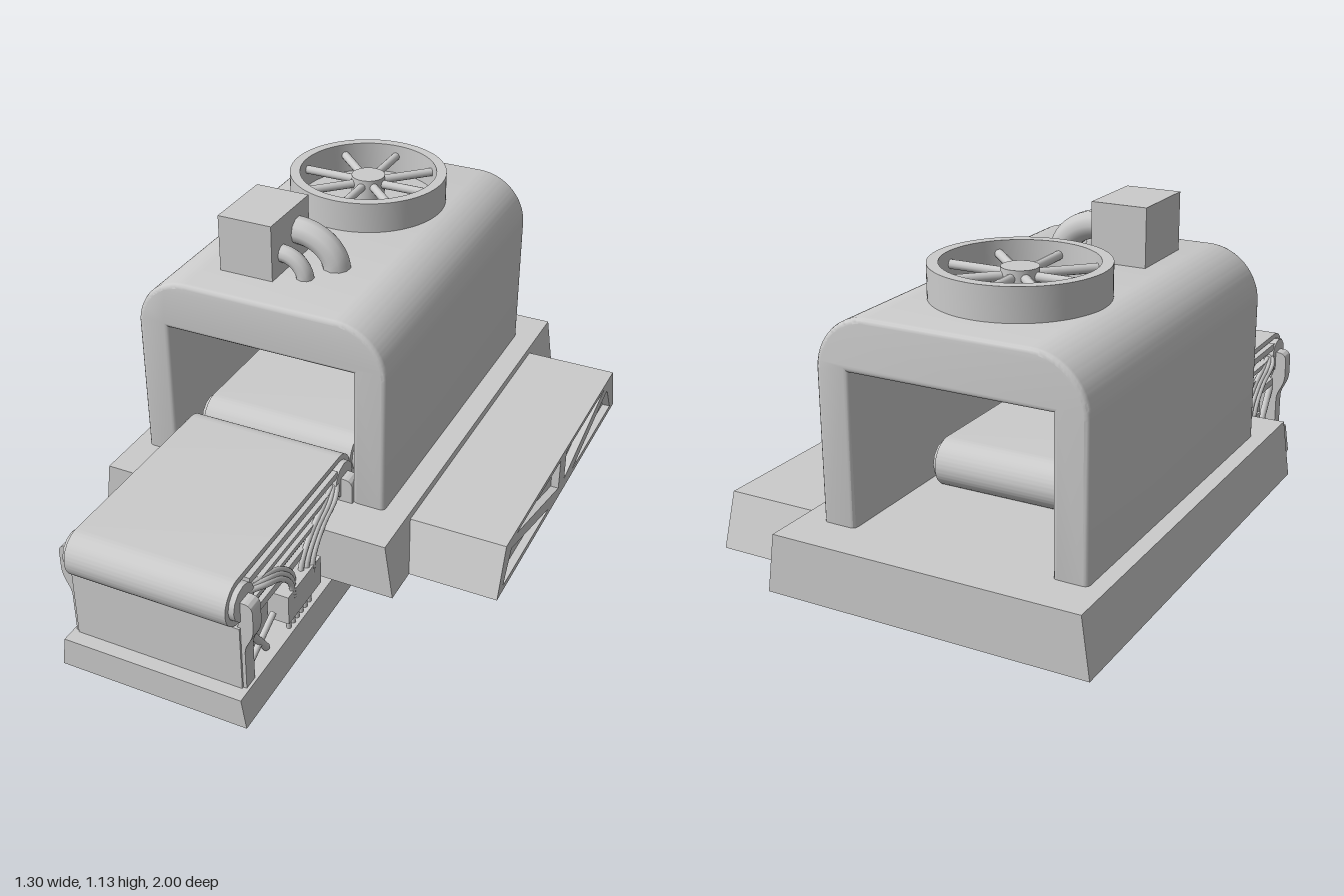
import * as THREE from 'three';
import { toCreasedNormals } from 'three/addons/utils/BufferGeometryUtils.js';

const material = new THREE.MeshStandardMaterial({ color: 0xcccccc });

function add(parent, name, geometry, x = 0, y = 0, z = 0) {
  const mesh = new THREE.Mesh(geometry, material);
  mesh.name = name;
  mesh.position.set(x, y, z);
  parent.add(mesh);
  return mesh;
}

// Box given by its limits
function block(parent, name, x0, x1, y0, y1, z0, z1) {
  return add(parent, name, new THREE.BoxGeometry(x1 - x0, y1 - y0, z1 - z0),
    (x0 + x1) / 2, (y0 + y1) / 2, (z0 + z1) / 2);
}

const polygon = (points) => new THREE.Shape(points.map(([a, b]) => new THREE.Vector2(a, b)));

function extrude(shape, depth, bevel = 0) {
  return toCreasedNormals(new THREE.ExtrudeGeometry(shape, {
    depth: depth - 2 * bevel, bevelEnabled: bevel > 0, bevelSize: bevel,
    bevelThickness: bevel, bevelOffset: -bevel, bevelSegments: 3, curveSegments: 20,
  }).translate(0, 0, bevel), 0.6);
}

// Extrusion along x of a shape drawn in (-z, y)
const extrudeX = (shape, depth) => extrude(shape, depth).rotateY(Math.PI / 2);

function tube(parent, name, points, radius) {
  const curve = new THREE.CatmullRomCurve3(points.map((p) => new THREE.Vector3(...p)));
  return add(parent, name, new THREE.TubeGeometry(curve, 20, radius, 10));
}

// Straight bar between two points
function bar(parent, name, a, b, radius) {
  const from = new THREE.Vector3(...a), to = new THREE.Vector3(...b);
  const mesh = add(parent, name, new THREE.CylinderGeometry(radius, radius, from.distanceTo(to), 12));
  mesh.position.lerpVectors(from, to, 0.5);
  mesh.quaternion.setFromUnitVectors(new THREE.Vector3(0, 1, 0), to.sub(from).normalize());
  return mesh;
}

// Outline with semicircular ends between z0 and z1
function stadium(z0, z1, radius, y, Type = THREE.Shape) {
  const s = new Type();
  s.moveTo(-z1, y - radius);
  s.lineTo(-z0, y - radius);
  s.absarc(-z0, y, radius, -Math.PI / 2, Math.PI / 2, false);
  s.absarc(-z1, y, radius, Math.PI / 2, Math.PI * 1.5, false);
  return s;
}

// Belt loop with rollers and side rails
function belt(parent, name, zBack, zFront) {
  const group = new THREE.Group();
  group.name = name;
  parent.add(group);
  const r = 0.075, y = 0.395, z0 = zBack + r, z1 = zFront - r;
  const loop = stadium(z0, z1, r, y);
  loop.holes.push(stadium(z0, z1, r - 0.018, y, THREE.Path));
  add(group, 'beltLoop', extrudeX(loop, 0.52), -0.26);
  add(group, 'beltCore', extrudeX(stadium(z0, z1, 0.058, y), 0.49), -0.245);
  for (const z of [z0, z1]) {
    bar(group, 'roller', [-0.277, y, z], [0.277, y, z], 0.058);
  }
  for (const side of [-1, 1]) {
    for (const [low, high] of [[0.425, 0.447], [0.385, 0.4], [0.345, 0.36]]) {
      block(group, 'sideRail', side * 0.262 - 0.012, side * 0.262 + 0.012, low, high, z0 + 0.04, z1 - 0.04);
    }
  }
}

function conveyor(parent) {
  const group = new THREE.Group();
  group.name = 'conveyor';
  group.position.x = -0.16;
  parent.add(group);

  belt(group, 'frontBelt', 0.22, 1);
  belt(group, 'innerBelt', -0.53, 0.22);

  // Foot, central body and end panels
  add(group, 'footPlate', extrude(polygon([[-0.31, 0], [0.31, 0], [0.295, 0.1], [-0.295, 0.1]]), 0.79), 0, 0, 0.21);
  block(group, 'supportBody', -0.22, 0.22, 0.1, 0.33, 0.28, 0.92);
  block(group, 'frontPanel', -0.275, 0.275, 0.1, 0.32, 0.915, 0.955);
  block(group, 'rearPanel', -0.275, 0.275, 0.1, 0.32, 0.265, 0.305);

  for (const s of [-1, 1]) {
    // Posts flaring outward to hold the rollers
    const post = new THREE.Shape();
    post.moveTo(s * 0.25, 0.1);
    post.lineTo(s * 0.286, 0.1);
    post.lineTo(s * 0.286, 0.23);
    post.bezierCurveTo(s * 0.287, 0.27, s * 0.315, 0.28, s * 0.315, 0.33);
    post.lineTo(s * 0.315, 0.385);
    post.quadraticCurveTo(s * 0.312, 0.41, s * 0.285, 0.41);
    post.lineTo(s * 0.272, 0.41);
    post.lineTo(s * 0.272, 0.34);
    post.lineTo(s * 0.25, 0.28);
    for (const z of [0.9, 0.27]) {
      add(group, 'rollerPost', extrude(post, 0.048), 0, 0, z);
    }
    block(group, 'upperBeam', s * 0.25 - 0.02, s * 0.25 + 0.02, 0.285, 0.31, 0.3, 0.92);

    // Braces, junction box and cables
    for (const d of [-1, 1]) {
      const at = (z) => 0.605 + d * z;
      bar(group, 'brace', [s * 0.26, 0.28, at(0.3)], [s * 0.26, 0.11, at(0.18)], 0.012);
      bar(group, 'brace', [s * 0.26, 0.11, at(0.31)], [s * 0.26, 0.2, at(0.13)], 0.01);
      for (let i = 0; i < 3; i++) {
        const x = s * (0.272 + 0.009 * i), k = 0.02 * i;
        tube(group, 'cable', [
          [x, 0.22, at(0.02 + k)], [x, 0.28, at(0.035 + k)],
          [x, 0.345, at(0.1 + k)], [x, 0.385, at(0.18 + k)], [s * 0.262, 0.4, at(0.25 + k)],
        ], 0.009);
      }
    }
    block(group, 'junctionBox', s * 0.262 - 0.035, s * 0.262 + 0.035, 0.15, 0.25, 0.5, 0.71);
    for (let i = 0; i < 6; i++) {
      const z = 0.54 + i * 0.026;
      bar(group, 'lowerCable', [s * 0.275, 0.1, z], [s * 0.275, 0.16, z], 0.008);
    }
  }
}

function sidePlatform(parent) {
  const group = new THREE.Group();
  group.name = 'sidePlatform';
  parent.add(group);
  const outline = () => polygon([[-0.345, 0.145], [0.845, 0.145], [0.79, 0.308], [-0.288, 0.308]]);
  add(group, 'platformBody', extrudeX(outline(), 0.29), 0.33);

  // Outer truss face with triangular recesses mirrored about its middle
  const face = outline(), middle = 0.248;
  for (const s of [-1, 1]) {
    for (const tri of [
      [[0.44, 0.292], [0.03, 0.292], [0.03, 0.185]],
      [[0.545, 0.165], [0.485, 0.265], [0.12, 0.165]],
    ]) {
      face.holes.push(new THREE.Path(tri.map(([a, b]) => new THREE.Vector2(middle + s * a, b))));
    }
  }
  add(group, 'trussFace', extrudeX(face, 0.027), 0.619);
  for (const z of [-0.62, -0.25, 0.12]) {
    block(group, 'hinge', 0.305, 0.345, 0.14, 0.16, z - 0.025, z + 0.025);
  }
}

function fan(parent) {
  const group = new THREE.Group();
  group.name = 'roofFan';
  group.position.set(-0.165, 0.945, -0.48);
  parent.add(group);
  const ring = new THREE.Shape().absarc(0, 0, 0.258, 0, Math.PI * 2);
  ring.holes.push(new THREE.Path().absarc(0, 0, 0.225, 0, Math.PI * 2));
  const geometry = new THREE.ExtrudeGeometry(ring, { depth: 0.105, bevelEnabled: false, curveSegments: 48 });
  add(group, 'fanRing', toCreasedNormals(geometry.rotateX(-Math.PI / 2), 0.6));
  add(group, 'fanHub', new THREE.CylinderGeometry(0.055, 0.055, 0.09, 32), 0, 0.045);
  for (let i = 0; i < 8; i++) {
    const a = i * Math.PI / 4, c = Math.cos(a), s = Math.sin(a);
    bar(group, 'spoke', [0.04 * c, 0.065, 0.04 * s], [0.235 * c, 0.065, 0.235 * s], 0.014);
  }
}

export function createModel() {
  const model = new THREE.Group();
  model.name = 'scannerTunnel';

  // Sloped-side main base
  add(model, 'mainBase', extrude(polygon([[-0.65, 0.145], [0.36, 0.145], [0.333, 0.328], [-0.625, 0.328]]), 1.47), 0, 0, -1);

  // Rounded arch open at both ends
  const arch = new THREE.Shape();
  arch.moveTo(-0.575, 0.3);
  arch.lineTo(-0.47, 0.3);
  arch.lineTo(-0.47, 0.787);
  arch.lineTo(0.152, 0.787);
  arch.lineTo(0.152, 0.3);
  arch.lineTo(0.258, 0.3);
  arch.lineTo(0.258, 0.78);
  arch.absarc(0.088, 0.78, 0.17, 0, Math.PI / 2, false);
  arch.absarc(-0.405, 0.78, 0.17, Math.PI / 2, Math.PI, false);
  add(model, 'tunnelArch', extrude(arch, 1.175, 0.015), 0, 0, -0.865);

  fan(model);

  // Roof box with two bent pipes
  block(model, 'roofBox', -0.355, -0.177, 0.94, 1.132, -0.07, 0.175);
  for (const [z, r, height, reach] of [[0.005, 0.044, 1.047, 0.132], [0.108, 0.028, 1.015, 0.077]]) {
    const rise = height - 0.94;
    const points = [[-0.2, height, z]];
    for (let i = 0; i <= 6; i++) {
      const a = i * Math.PI / 12;
      points.push([-0.177 + reach * Math.sin(a), 0.94 + rise * Math.cos(a), z]);
    }
    tube(model, 'roofPipe', points, r);
  }

  sidePlatform(model);
  conveyor(model);
  return model;
}
